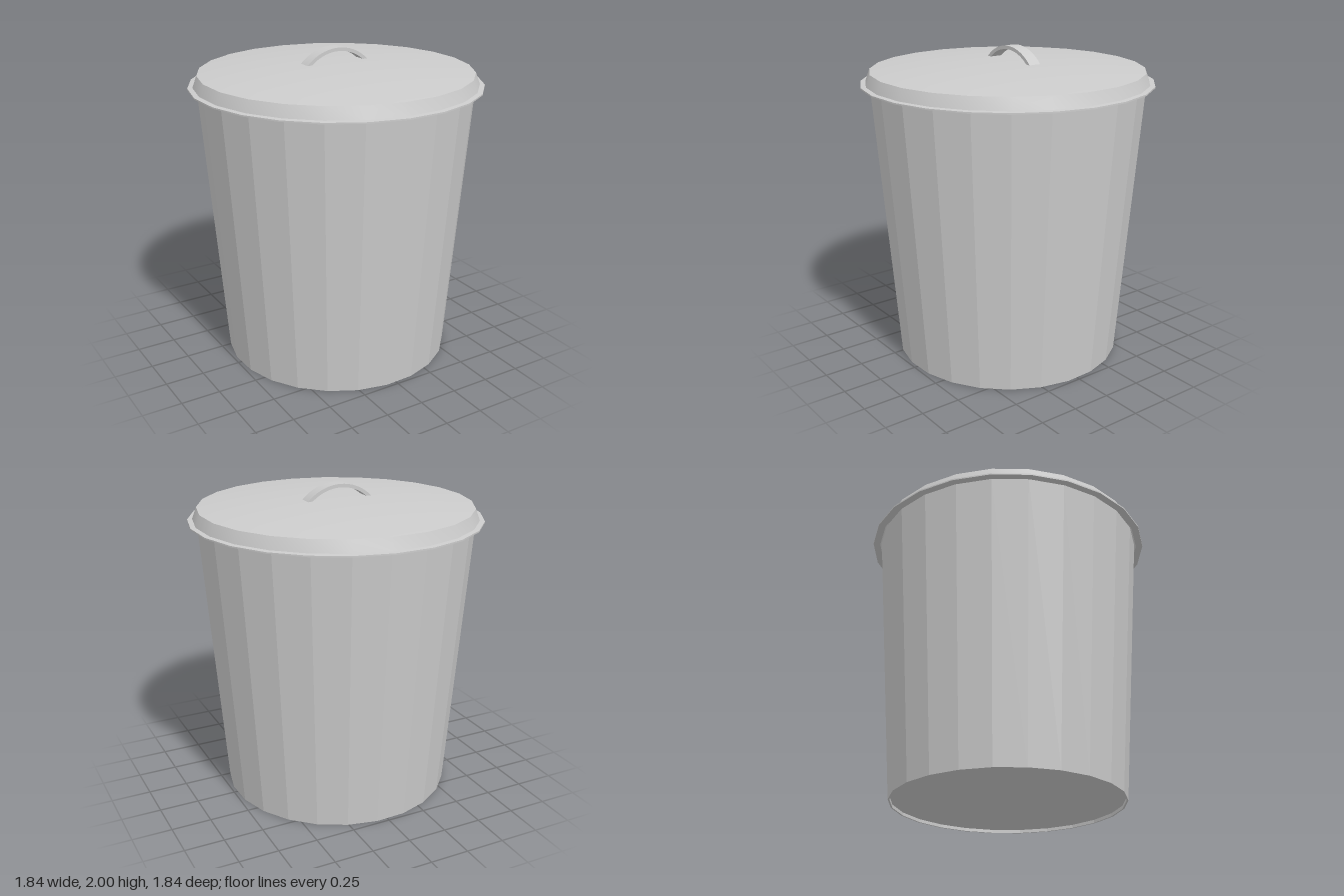
import * as THREE from 'three';
import { toCreasedNormals } from 'three/addons/utils/BufferGeometryUtils.js';

const SIDES = 24;
const TURN = THREE.MathUtils.degToRad(9.5);

// Spins a list of [radius, height] pairs into a 24-sided surface
function lathe(profile) {
  const points = profile.map(([r, y]) => new THREE.Vector2(r, y));
  return new THREE.LatheGeometry(points, SIDES, TURN, Math.PI * 2);
}

function addMesh(group, name, geometry, flatShading = false) {
  const material = new THREE.MeshStandardMaterial({ color: 0xcccccc, flatShading, side: THREE.DoubleSide });
  const mesh = new THREE.Mesh(geometry, material);
  mesh.name = name;
  group.add(mesh);
  return mesh;
}

export function createModel() {
  const group = new THREE.Group();
  group.name = 'lidded bin';

  // Tapered thin-walled body with a floor raised slightly off the ground
  addMesh(group, 'body', lathe([
    [0, 0.02], [0.72, 0.02], [0.72, 0], [0.73, 0], [0.868, 1.785],
    [0.855, 1.785], [0.715, 0.035], [0, 0.035],
  ]), true);

  // Lid: flange, sloping skirt and shallow dome, with a matching underside
  const dome = (r) => 1.912 - 0.052 * (r / 0.865) ** 2;
  const radii = [0.865, 0.76, 0.65, 0.54, 0.43, 0.32, 0.21, 0.1, 0];
  const top = radii.map((r) => [r, dome(r)]);
  const underside = radii.map((r) => [r * 0.985, dome(r) - 0.012]).reverse();
  const lid = lathe([
    ...underside, [0.878, 1.775], [0.923, 1.775], [0.923, 1.784], [0.892, 1.787], ...top,
  ]);
  addMesh(group, 'lid', toCreasedNormals(lid, 0.5));

  // Arched strap handle
  const radius = 0.302, thickness = 0.022, spread = 0.82;
  const start = Math.PI / 2 + spread, end = Math.PI / 2 - spread;
  const strap = new THREE.Shape();
  strap.absarc(0, 0, radius, start, end, true);
  strap.absarc(0, 0, radius - thickness, end, start, false);
  strap.closePath();
  const handle = new THREE.ExtrudeGeometry(strap, { depth: 0.082, bevelEnabled: false, curveSegments: 16 });
  addMesh(group, 'handle', toCreasedNormals(handle, 0.5)).position.set(0.01, 2 - radius, -0.078);

  return group;
}
